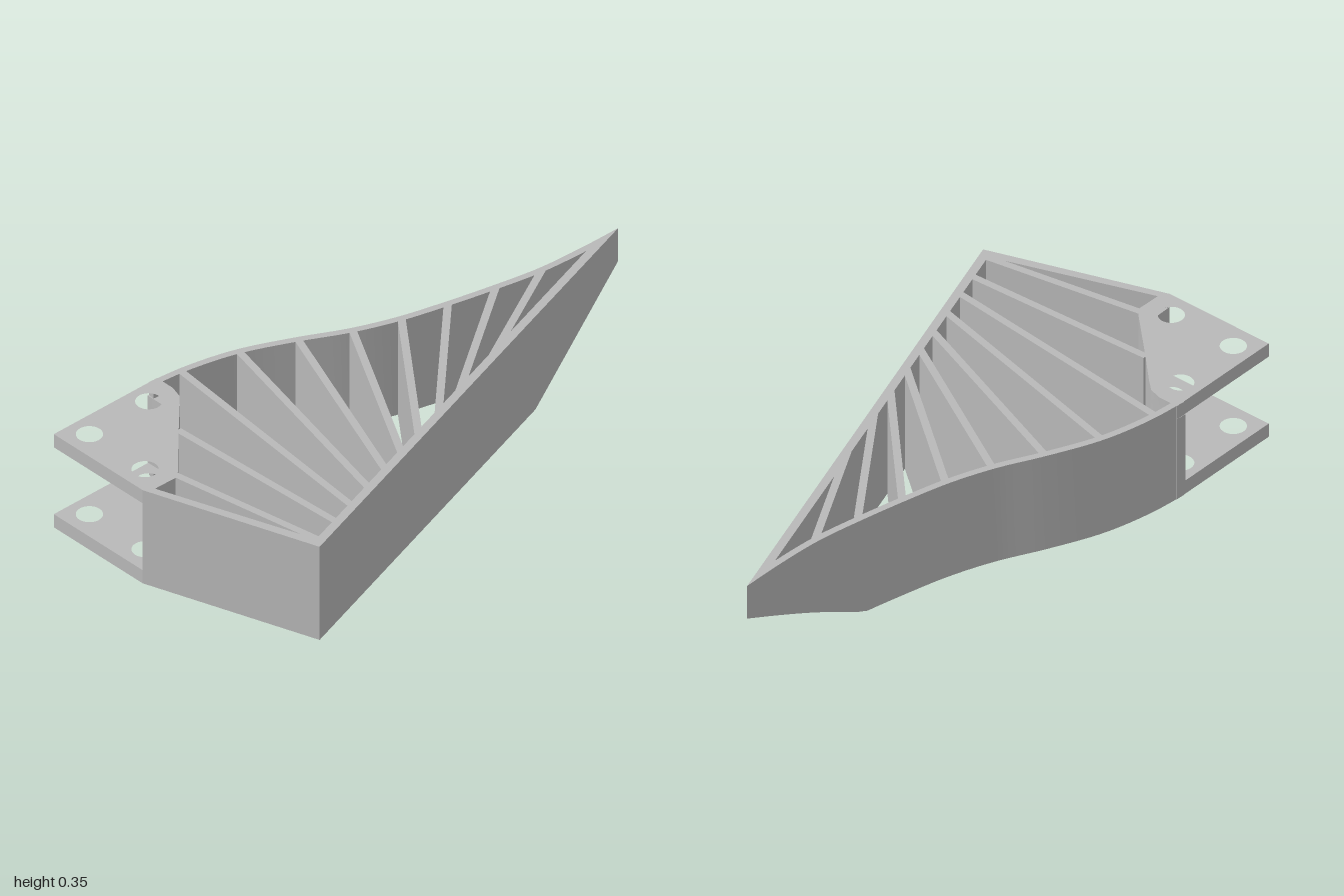
import * as THREE from 'three';
import { toCreasedNormals } from 'three/addons/utils/BufferGeometryUtils.js';

const H = 0.355, PLATE = 0.05, SLOPE_Z = -0.5;

// underside rises in a straight slope towards the rear tip
const floorAt = (z) => Math.max(0, (SLOPE_Z - z) * 0.46);

// upright strip between two lists of [x, z] points
function strip(a, b, y0 = 0, y1 = H) {
  const m = Math.floor((a.length - 1) / 2);
  const dx = a[m + 1][0] - a[m][0], dz = a[m + 1][1] - a[m][1];
  if (dz * (a[m][0] - b[m][0]) - dx * (a[m][1] - b[m][1]) < 0) [a, b] = [b, a];
  const pos = [], idx = [];
  a.forEach(([ax, az], i) => {
    const [bx, bz] = b[i];
    pos.push(ax, Math.max(y0, floorAt(az)), az, ax, y1, az);
    pos.push(bx, y1, bz, bx, Math.max(y0, floorAt(bz)), bz);
  });
  const quad = (p, q, r, s) => idx.push(p, q, r, p, r, s);
  for (let i = 0; i < a.length - 1; i++) {
    for (let k = 0; k < 4; k++) {
      const n = (k + 1) % 4, o = i * 4;
      quad(o + k, o + n, o + 4 + n, o + 4 + k);
    }
  }
  const e = (a.length - 1) * 4;
  quad(0, 3, 2, 1);
  quad(e, e + 1, e + 2, e + 3);
  const g = new THREE.BufferGeometry();
  g.setAttribute('position', new THREE.Float32BufferAttribute(pos, 3));
  g.setIndex(idx);
  return toCreasedNormals(g, 0.5);
}

// straight rib of even thickness, with a joint where the underside bends
function rib([x0, z0, x1, z1], t = 0.025) {
  const path = [[x0, z0], [x1, z1]];
  if (z0 < SLOPE_Z) {
    const f = (SLOPE_Z - z0) / (z1 - z0);
    path.splice(1, 0, [x0 + (x1 - x0) * f, SLOPE_Z]);
  }
  const len = Math.hypot(x1 - x0, z1 - z0);
  const nx = (z1 - z0) / len * t / 2, nz = -(x1 - x0) / len * t / 2;
  return strip(path.map(([x, z]) => [x + nx, z + nz]), path.map(([x, z]) => [x - nx, z - nz]));
}

export function createModel() {
  const group = new THREE.Group();
  const grey = new THREE.MeshStandardMaterial({ color: 0xb8b8b8 });
  grey.name = 'grey';
  const add = (name, geometry) => {
    const mesh = new THREE.Mesh(geometry, grey);
    mesh.name = name;
    group.add(mesh);
    return mesh;
  };

  // curved side wall
  const curve = new THREE.CatmullRomCurve3([
    [-0.09, -1], [-0.093, -0.85], [-0.105, -0.68], [-0.137, -0.51], [-0.175, -0.345],
    [-0.217, -0.19], [-0.275, -0.04], [-0.355, 0.115], [-0.433, 0.29], [-0.476, 0.46], [-0.493, 0.6],
  ].map(([x, z]) => new THREE.Vector3(x, 0, z)));
  const outer = [], inner = [];
  for (let i = 0; i <= 48; i++) {
    const p = curve.getPoint(i / 48), t = curve.getTangent(i / 48);
    const z = p.z - t.x * 0.023;
    outer.push([p.x, p.z]);
    inner.push([Math.min(p.x + t.z * 0.023, -0.09 + 0.322 * (z + 1)), z]);
  }
  add('curvedWall', strip(outer, inner));

  // straight side wall and short front wall
  add('straightWall', strip(
    [[-0.09, -1], [0.071, SLOPE_Z], [0.492, 0.805]],
    [[-0.075, -0.86], [0.041, SLOPE_Z], [0.455, 0.785]]));
  add('frontWall', strip([[0.492, 0.805], [-0.095, 1]], [[0.455, 0.785], [-0.075, 0.967]]));

  // fan of inner ribs: x, z of each end
  [
    [-0.092, -0.68, 0.14, -0.245], [-0.12, -0.51, 0.193, -0.065], [-0.158, -0.345, 0.233, 0.06],
    [-0.2, -0.19, 0.27, 0.18], [-0.26, -0.04, 0.305, 0.285], [-0.34, 0.115, 0.345, 0.385],
    [-0.418, 0.29, 0.375, 0.485], [-0.465, 0.49, 0.407, 0.585], [-0.25, 0.706, 0.435, 0.677],
    [-0.09, 0.872, 0.462, 0.78],
  ].forEach((ends, i) => add('rib' + (i + 1), rib(ends)));

  // wall closing the open mounting pocket
  const edge = [[-0.491, 0.568], [-0.42, 0.568], [-0.376, 0.582], [-0.34, 0.614],
    [-0.243, 0.71], [-0.09, 0.857], [-0.073, 0.884], [-0.075, 0.967]];
  const pocket = [[-0.494, 0.605], [-0.42, 0.605], [-0.393, 0.614], [-0.365, 0.637],
    [-0.263, 0.735], [-0.113, 0.88], [-0.097, 0.9], [-0.095, 1]];
  add('pocketWall', strip(edge, pocket, PLATE, H - PLATE));

  // two mounting plates with bolt holes
  const outline = [...edge, [-0.095, 1], [-0.495, 1]];
  const shape = new THREE.Shape(outline.map(([x, z]) => new THREE.Vector2(x, -z)));
  for (const [x, z] of [[-0.42, 0.67], [-0.42, 0.92], [-0.17, 0.92]]) {
    shape.holes.push(new THREE.Path().absarc(x, -z, 0.042, 0, Math.PI * 2, true));
  }
  const plate = toCreasedNormals(new THREE.ExtrudeGeometry(shape,
    { depth: PLATE, bevelEnabled: false, curveSegments: 24 }).rotateX(-Math.PI / 2), 0.5);
  add('lowerPlate', plate);
  add('upperPlate', plate).position.y = H - PLATE;

  return group;
}
